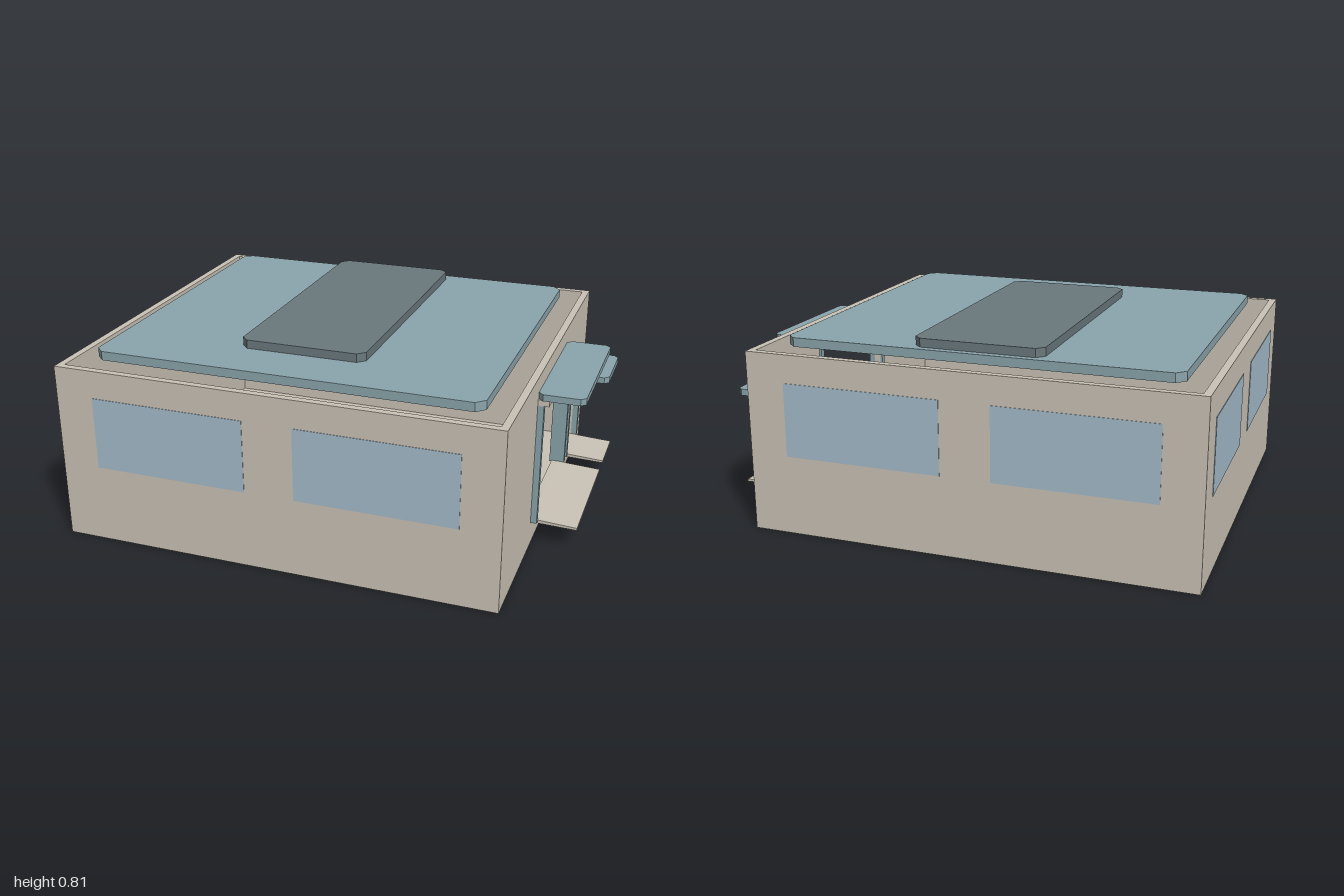
import * as THREE from 'three';

const material = (name, color) => {
  const m = new THREE.MeshStandardMaterial({ color });
  m.name = name;
  return m;
};

export function createModel() {
  const beige = material('beige plaster', 0xc9c2b5);
  const teal = material('teal metal', 0x8aa4ab);
  const slate = material('dark slate', 0x69787d);
  const glass = material('blue glass', 0xa3bbcb);

  const model = new THREE.Group();
  model.name = 'building';

  const add = (name, geometry, mat) => {
    const mesh = new THREE.Mesh(geometry, mat);
    mesh.name = name;
    model.add(mesh);
    return mesh;
  };

  // Box given by its limits on each axis
  const box = (name, mat, x0, x1, y0, y1, z0, z1) => {
    const g = new THREE.BoxGeometry(x1 - x0, y1 - y0, z1 - z0);
    g.translate((x0 + x1) / 2, (y0 + y1) / 2, (z0 + z1) / 2);
    return add(name, g, mat);
  };

  // Flat slab with cut corners
  const slab = (name, mat, x0, x1, y0, y1, z0, z1, c) => {
    const shape = new THREE.Shape([
      [x0 + c, -z1], [x1 - c, -z1], [x1, -z1 + c], [x1, -z0 - c],
      [x1 - c, -z0], [x0 + c, -z0], [x0, -z0 - c], [x0, -z1 + c],
    ].map(([x, y]) => new THREE.Vector2(x, y)));
    const g = new THREE.ExtrudeGeometry(shape, { depth: y1 - y0, bevelEnabled: false });
    g.rotateX(-Math.PI / 2).translate(0, y0, 0);
    return add(name, g, mat);
  };

  const rect = (Type, x0, x1, y0, y1) => new Type([
    new THREE.Vector2(x0, y0), new THREE.Vector2(x1, y0),
    new THREE.Vector2(x1, y1), new THREE.Vector2(x0, y1),
  ]);

  const L = -1, R = 0.815, D = 0.83, H = 0.74, T = 0.03;
  const openings = [
    { name: 'door', z0: -0.28, z1: 0.28, top: 0.62 },
    { name: 'hatch', z0: -0.592, z1: -0.37, top: 0.46 },
  ];
  const sill = 0.105, frame = 0.025;

  // Open shell: floor and three plain walls
  box('floor', beige, L, R, 0, 0.01, -D, D);
  box('frontWall', beige, L, R, 0.01, H, D - T, D);
  box('backWall', beige, L, R, 0.01, H, -D, -D + T);
  box('rightWall', beige, L, L + T, 0.01, H, -D + T, D - T);

  // Service wall with two openings
  const wall = rect(THREE.Shape, -D + T, D - T, 0.01, H);
  openings.forEach((o) => wall.holes.push(rect(THREE.Path, o.z0, o.z1, sill, o.top)));
  const wallGeometry = new THREE.ExtrudeGeometry(wall, { depth: T, bevelEnabled: false });
  wallGeometry.rotateY(-Math.PI / 2).translate(R, 0, 0);
  add('serviceWall', wallGeometry, beige);

  // Frame, lintel, canopy and sloping shelf of each opening
  for (const o of openings) {
    box(o.name + 'PostBack', teal, R - 0.04, R + 0.025, sill, o.top, o.z0 - frame, o.z0);
    box(o.name + 'PostFront', teal, R - 0.04, R + 0.025, sill, o.top, o.z1, o.z1 + frame);
    box(o.name + 'Lintel', beige, R, 0.86, o.top, o.top + 0.025, o.z0 - frame, o.z1 + frame);
    slab(o.name + 'Canopy', teal, R, 1, o.top + 0.025, o.top + 0.052,
      o.z0 - 0.032, o.z1 + 0.032, 0.02);

    const profile = new THREE.Shape([
      [R - T, 0.095], [R, 0.095], [1, 0.09], [1, 0.1], [R, 0.11], [R - T, 0.11],
    ].map(([x, y]) => new THREE.Vector2(x, y)));
    const shelf = new THREE.ExtrudeGeometry(profile, { depth: o.z1 - o.z0, bevelEnabled: false });
    add(o.name + 'Shelf', shelf.translate(0, 0, o.z0), beige);
  }

  // Window plates on the front, back and right walls
  const w0 = 0.325, w1 = 0.625, t = 0.002;
  for (const [x0, x1] of [[-0.84, -0.2], [0.005, 0.655]]) {
    box('frontWindow', glass, x0, x1, w0, w1, D - t, D + t);
    box('backWindow', glass, x0, x1, w0, w1, -D - t, -D + t);
  }
  for (const [z0, z1] of [[-0.69, -0.095], [0.095, 0.69]]) {
    box('sideWindow', glass, L - t, L + t, w0, w1, z0, z1);
  }

  // Stepped roof
  slab('roof', teal, -0.888, 0.702, 0.742, 0.779, -0.715, 0.715, 0.035);
  slab('roofPanel', slate, -0.355, 0.168, 0.779, 0.814, -0.685, 0.49, 0.03);

  return model;
}
